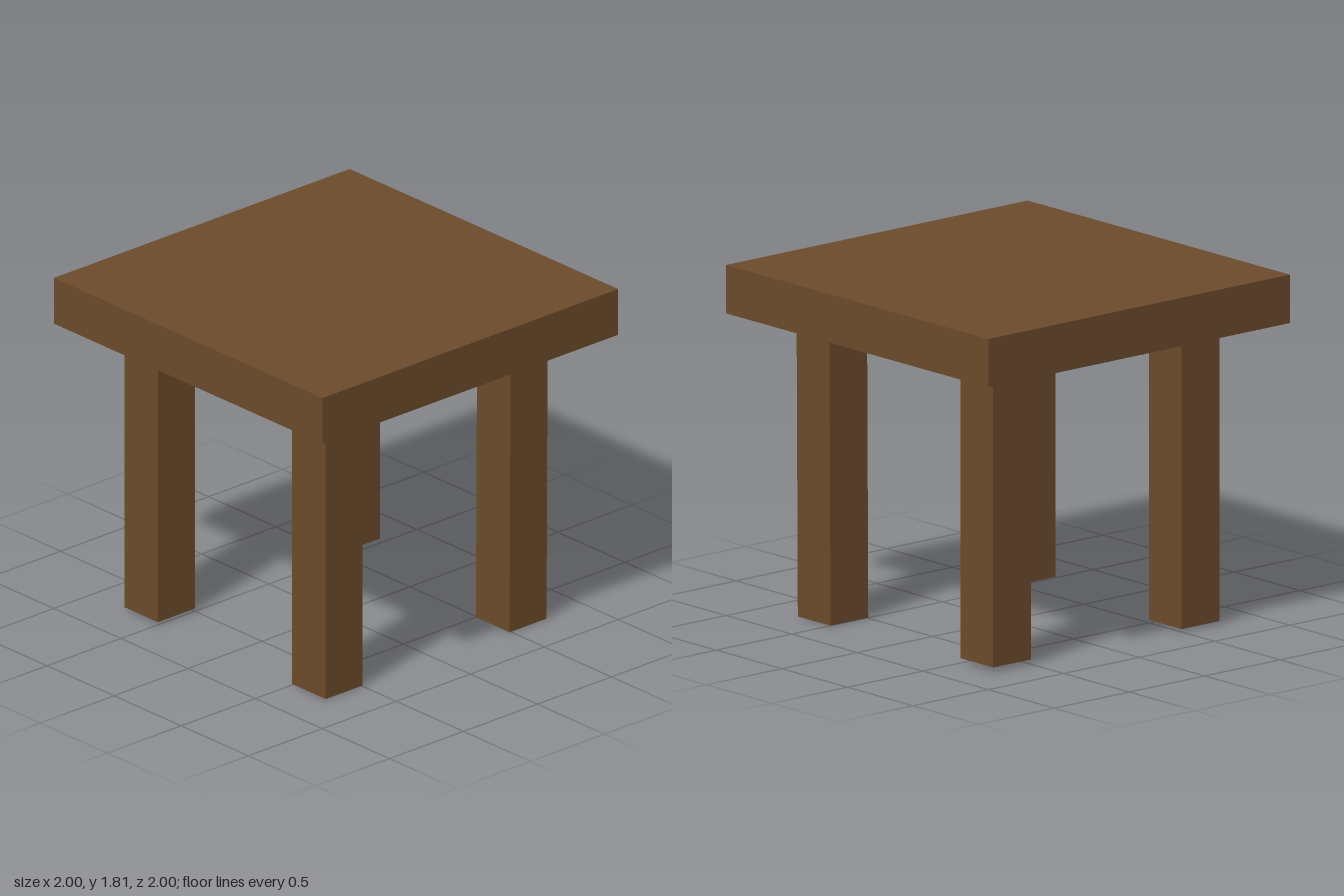
import * as THREE from 'three';

const TOP = 1.81, UNDER = 1.56, LEG = 0.25, OFFSET = 0.625;

export function createModel() {
  const group = new THREE.Group();
  const wood = new THREE.MeshStandardMaterial({ color: 0x6b4a2b, flatShading: true });

  // Square slab
  const tableTop = new THREE.Mesh(new THREE.BoxGeometry(2, TOP - UNDER, 2), wood);
  tableTop.name = 'tableTop';
  tableTop.position.y = (TOP + UNDER) / 2;
  group.add(tableTop);

  // Square legs of slightly uneven length; lean shifts the foot along x
  const addLeg = (name, sx, sz, foot, lean = 0) => {
    const height = UNDER - foot;
    const geometry = new THREE.BoxGeometry(LEG, height, LEG);
    geometry.translate(0, -height / 2, 0);
    const p = geometry.attributes.position;
    for (let i = 0; i < p.count; i++) {
      p.setX(i, p.getX(i) - (p.getY(i) / height) * lean);
    }
    geometry.computeVertexNormals();
    const leg = new THREE.Mesh(geometry, wood);
    leg.name = name;
    leg.position.set(sx * OFFSET, UNDER, sz * OFFSET);
    group.add(leg);
  };
  addLeg('frontLeftLeg', 1, 1, 0, -0.008);
  addLeg('frontRightLeg', -1, 1, 0.005);
  addLeg('backLeftLeg', 1, -1, 0.025);
  addLeg('backRightLeg', -1, -1, 0.015);

  return group;
}
